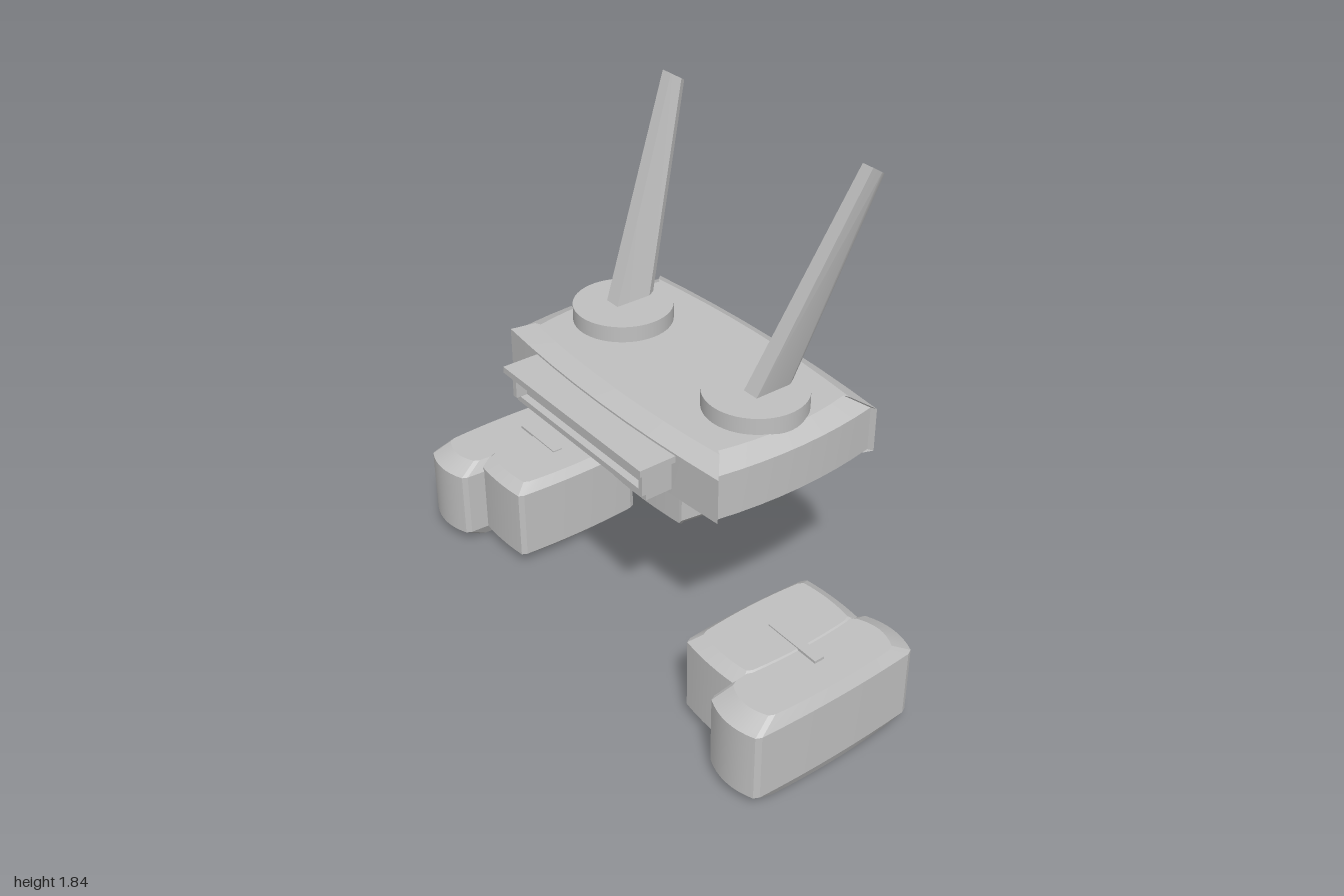
import * as THREE from 'three';
import { toCreasedNormals } from 'three/addons/utils/BufferGeometryUtils.js';

const grey = new THREE.MeshStandardMaterial({ color: 0xc0c0c0 });
grey.name = 'grey';

function add(parent, name, geometry, x = 0, y = 0, z = 0) {
  const mesh = new THREE.Mesh(geometry, grey);
  mesh.name = name;
  mesh.position.set(x, y, z);
  parent.add(mesh);
  return mesh;
}

// Solid skinned over rings of points, listed from bottom to top
// (each ring runs counter-clockwise seen from above).
function loft(rings) {
  const n = rings[0].length, pos = [];
  const tri = (a, b, c) => pos.push(...a, ...b, ...c);
  for (let r = 0; r < rings.length - 1; r++) {
    const lo = rings[r], hi = rings[r + 1];
    for (let i = 0; i < n; i++) {
      const j = (i + 1) % n;
      tri(lo[i], lo[j], hi[j]);
      tri(lo[i], hi[j], hi[i]);
    }
  }
  const centre = (ring) => [0, 1, 2].map((k) => ring.reduce((s, p) => s + p[k], 0) / n);
  const bottom = rings[0], top = rings[rings.length - 1];
  const cb = centre(bottom), ct = centre(top);
  for (let i = 0; i < n; i++) {
    const j = (i + 1) % n;
    tri(cb, bottom[j], bottom[i]);
    tri(ct, top[i], top[j]);
  }
  const g = new THREE.BufferGeometry();
  g.setAttribute('position', new THREE.Float32BufferAttribute(pos, 3));
  return toCreasedNormals(g, 0.35);
}

// Rectangle of half sizes w, d with bowed sides (bx, bz) and cut corners c.
function outline(y, w, d, bx, bz, c) {
  const ring = [], steps = 8;
  for (let side = 0; side < 4; side++) {
    const alongX = side % 2 === 0, sign = side < 2 ? 1 : -1;
    for (let i = 0; i <= steps; i++) {
      const t = (i / steps) * 2 - 1;
      if (alongX) ring.push([sign * t * (w - c), y, sign * (d - bz * t * t)]);
      else ring.push([sign * (w - bx * t * t), y, -sign * t * (d - bz - c)]);
    }
  }
  return ring;
}

// Block with bowed sides; low and high are the [height, inset x, inset z] of its bevels.
function block({ w, d, y0, y1, low, high, bx, bz, c }) {
  const ring = (y, ix = 0, iz = 0) => outline(y, w - ix, d - iz, bx, bz, c);
  return loft([
    ring(y0, low[1], low[2]), ring(y0 + low[0]),
    ring(y1 - high[0]), ring(y1, high[1], high[2]),
  ]);
}

function makeAntenna() {
  // blade with a thinned rear edge: [x offset, z, y]
  const section = (cx, pts) => pts.map(([x, z, y]) => [cx + x, y, z]);
  return loft([
    section(0.376, [[-0.032, -0.025, 1.06], [0.032, -0.025, 1.06], [0.032, -0.17, 1.06],
      [0.014, -0.2, 1.06], [-0.014, -0.2, 1.06], [-0.032, -0.17, 1.06]]),
    section(0.498, [[-0.02, -0.375, 1.84], [0.026, -0.375, 1.84], [0.026, -0.415, 1.815],
      [0.014, -0.438, 1.8], [-0.014, -0.438, 1.8], [-0.028, -0.415, 1.815]]),
  ]);
}

// Mirror a loft across x, keeping faces outward
function mirrored(geometry) {
  const g = geometry.clone().scale(-1, 1, 1);
  for (const key of ['position', 'normal']) {
    const a = g.attributes[key];
    for (let i = 0; i < a.count; i += 3) {
      const p = new THREE.Vector3().fromBufferAttribute(a, i + 1);
      const q = new THREE.Vector3().fromBufferAttribute(a, i + 2);
      a.setXYZ(i + 1, q.x, q.y, q.z);
      a.setXYZ(i + 2, p.x, p.y, p.z);
    }
  }
  return g;
}

export function createModel() {
  const model = new THREE.Group();
  model.name = 'floatingRobot';

  // Head
  const head = new THREE.Group();
  head.name = 'head';
  model.add(head);
  add(head, 'headShell', block({
    w: 0.6, d: 0.365, y0: 0.79, y1: 1.03, bx: 0.03, bz: 0.03, c: 0.01,
    low: [0.04, 0.08, 0.06], high: [0.035, 0.07, 0.06],
  }), 0, 0, -0.075);

  // Visor: lid, side walls, sill and recessed face
  const visor = new THREE.Group();
  visor.name = 'visor';
  head.add(visor);
  add(visor, 'visorLid', new THREE.BoxGeometry(0.79, 0.024, 0.165), 0, 0.976, 0.333);
  add(visor, 'visorSill', new THREE.BoxGeometry(0.75, 0.022, 0.135), 0, 0.861, 0.31);
  add(visor, 'visorFace', new THREE.BoxGeometry(0.72, 0.1, 0.11), 0, 0.918, 0.295);
  for (const s of [1, -1]) {
    add(visor, s > 0 ? 'visorWallLeft' : 'visorWallRight',
      new THREE.BoxGeometry(0.02, 0.094, 0.15), s * 0.365, 0.919, 0.318);
  }

  // Ear discs and antennas
  const antenna = makeAntenna();
  for (const s of [1, -1]) {
    const side = s > 0 ? 'Left' : 'Right';
    add(head, 'earDisc' + side, new THREE.CylinderGeometry(0.18, 0.18, 0.09, 48), s * 0.365, 1.045, -0.075);
    add(head, 'antenna' + side, s > 0 ? antenna : mirrored(antenna));
  }

  // Torso with a back pack
  add(model, 'torso', block({
    w: 0.255, d: 0.25, y0: 0.52, y1: 0.82, bx: 0.02, bz: 0.015, c: 0.015,
    low: [0.05, 0.045, 0.045], high: [0.02, 0, 0],
  }), 0, 0, -0.095);
  add(model, 'backPack', block({
    w: 0.245, d: 0.1, y0: 0.53, y1: 0.82, bx: 0.005, bz: 0.02, c: 0.015,
    low: [0.045, 0.045, 0.04], high: [0.02, 0, 0],
  }), 0, 0, -0.297);

  // Feet: a long outer shell, a shorter inner shell and a ridge on top
  for (const s of [1, -1]) {
    const foot = new THREE.Group();
    foot.name = s > 0 ? 'footLeft' : 'footRight';
    model.add(foot);
    add(foot, 'outerShell', block({
      w: 0.128, d: 0.36, y0: 0, y1: 0.35, bx: 0.01, bz: 0.025, c: 0.02,
      low: [0.05, 0.022, 0.07], high: [0.04, 0.022, 0.07],
    }), s * 0.872, 0, 0.08);
    add(foot, 'innerShell', block({
      w: 0.16, d: 0.275, y0: 0.02, y1: 0.355, bx: 0.01, bz: 0.01, c: 0.02,
      low: [0.03, 0.03, 0.04], high: [0.03, 0.03, 0.045],
    }), s * 0.655, 0, 0.053);
    add(foot, 'ridge', new THREE.BoxGeometry(0.23, 0.02, 0.04), s * 0.755, 0.35, 0.053);
  }
  return model;
}
